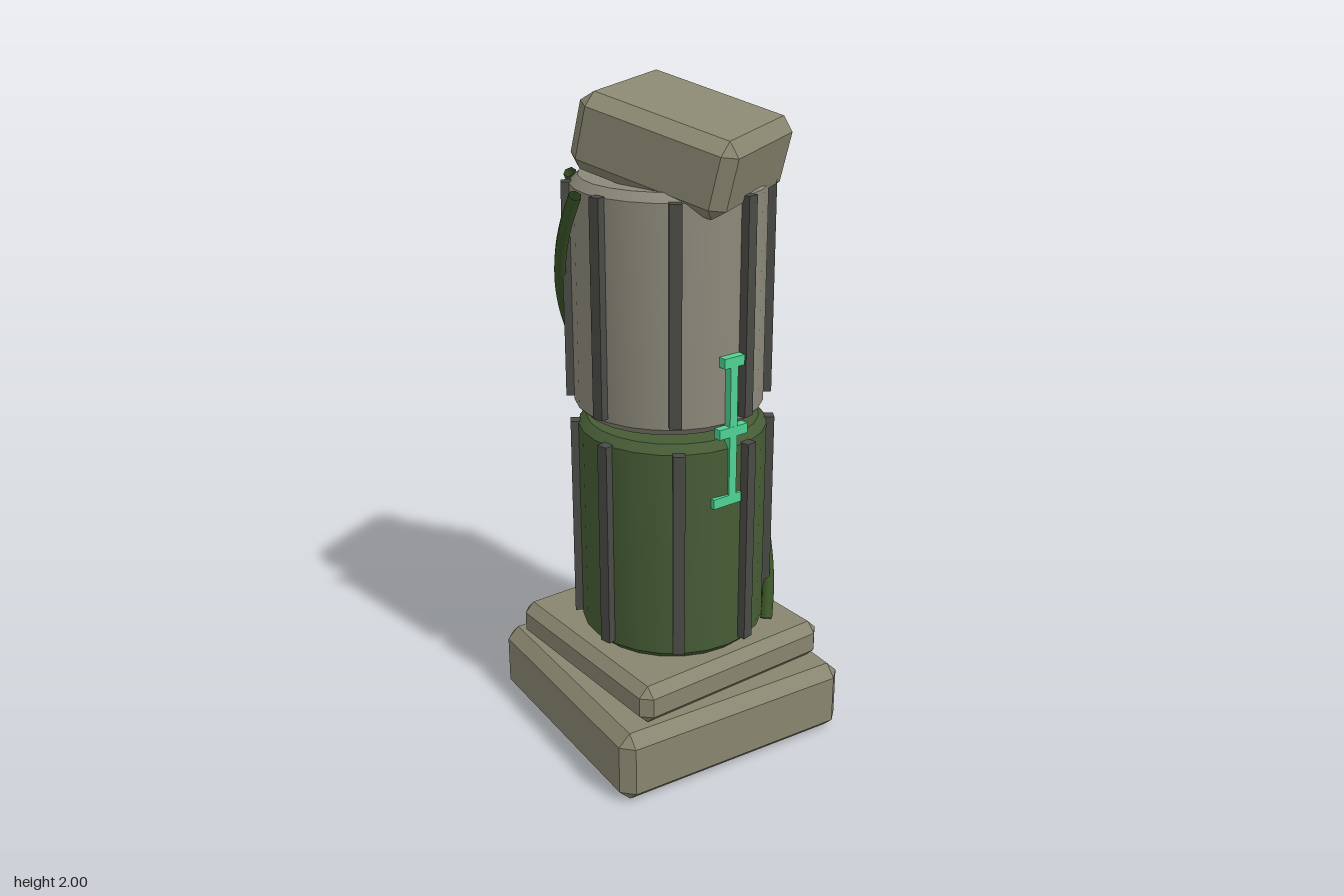
import * as THREE from 'three';
import { toCreasedNormals } from 'three/addons/utils/BufferGeometryUtils.js';
import { ConvexGeometry } from 'three/addons/geometries/ConvexGeometry.js';

const material = (name, color, extra = {}) => {
  const m = new THREE.MeshStandardMaterial({ color, ...extra });
  m.name = name;
  return m;
};

// Box with every edge and corner cut off by c
function chamferBox(w, h, d, c) {
  const pts = [];
  for (const sx of [-1, 1]) for (const sy of [-1, 1]) for (const sz of [-1, 1]) {
    const x = w / 2, y = h / 2, z = d / 2;
    pts.push(
      new THREE.Vector3(sx * x, sy * (y - c), sz * (z - c)),
      new THREE.Vector3(sx * (x - c), sy * y, sz * (z - c)),
      new THREE.Vector3(sx * (x - c), sy * (y - c), sz * z));
  }
  return new ConvexGeometry(pts);
}

// Round drum with bevelled rims, standing on y = 0
function drumGeometry(r, h, b) {
  const profile = [[0, 0], [r - b, 0], [r, b], [r, h - b], [r - b, h], [0, h]]
    .map(([x, y]) => new THREE.Vector2(x, y));
  return toCreasedNormals(new THREE.LatheGeometry(profile, 24), 0.5);
}

// Helix around the column; angles in degrees from +z towards +x
function vineGeometry(startAngle, endAngle) {
  const pts = [];
  for (let i = 0; i <= 16; i++) {
    const t = i / 16;
    const a = THREE.MathUtils.degToRad(startAngle + (endAngle - startAngle) * t);
    pts.push(new THREE.Vector3(0.311 * Math.sin(a), 1.72 - 1.36 * t, 0.311 * Math.cos(a)));
  }
  return new THREE.TubeGeometry(new THREE.CatmullRomCurve3(pts), 48, 0.019, 6);
}

export function createModel() {
  const model = new THREE.Group();
  model.name = 'ruinedColumn';

  const stone = material('stone', 0x88856f);
  const drumStone = material('drumStone', 0x8c887a);
  const moss = material('moss', 0x465c35);
  const darkStone = material('darkStone', 0x4a4a46);
  const vine = material('vine', 0x3b5527, { side: THREE.DoubleSide });
  const glow = material('glowGreen', 0x4fd394);

  const add = (name, geometry, mat, x = 0, y = 0, z = 0, parent = model) => {
    const mesh = new THREE.Mesh(geometry, mat);
    mesh.name = name;
    mesh.position.set(x, y, z);
    parent.add(mesh);
    return mesh;
  };

  // Stepped plinth, the lower slab slightly turned
  add('baseSlab', chamferBox(0.788, 0.225, 0.788, 0.036), stone, 0, 0.1125, 0).rotation.y = -0.085;
  add('upperSlab', chamferBox(0.68, 0.12, 0.68, 0.03), stone, 0, 0.285, 0);

  // Two drums, each with eight raised ribs
  const addDrum = (name, mat, x, y, h) => {
    const group = new THREE.Group();
    group.name = name;
    group.position.set(x, y, 0);
    model.add(group);
    add(name + 'Body', drumGeometry(0.28, h, 0.024), mat, 0, 0, 0, group);
    const rib = new THREE.BoxGeometry(0.035, 0.635, 0.03);
    for (let i = 0; i < 8; i++) {
      const a = 0.2 + i * Math.PI / 4;
      add('rib', rib, darkStone, 0.288 * Math.sin(a), h / 2 + 0.007, 0.288 * Math.cos(a), group)
        .rotation.y = a;
    }
  };
  addDrum('lowerDrum', moss, 0.018, 0.345, 0.688);
  addDrum('upperDrum', drumStone, 0, 1.055, 0.69);

  // Toppled cap block
  const cap = add('capBlock', chamferBox(0.48, 0.22, 0.43, 0.036), stone, 0.056, 1.837, -0.005);
  cap.setRotationFromMatrix(new THREE.Matrix4().makeBasis(
    new THREE.Vector3(0.868, -0.244, -0.432),
    new THREE.Vector3(0.232, 0.969, -0.081),
    new THREE.Vector3(0.44, -0.03, 0.897)));

  // Climbing vines
  add('frontVine', vineGeometry(-1, -166), vine);
  add('sideVine', vineGeometry(-60, -230), vine);

  // Glowing carved mark: an upright with three crossbars [width, y, z]
  const mark = new THREE.Group();
  mark.name = 'glowingMark';
  model.add(mark);
  add('upright', new THREE.BoxGeometry(0.024, 0.43, 0.026), glow, 0.291, 1.06, 0, mark);
  for (const [w, y, z] of [[0.07, 1.268, 0], [0.1, 1.06, 0], [0.1, 0.851, 0.018]]) {
    add('crossbar', new THREE.BoxGeometry(0.025, 0.03, w), glow, 0.291, y, z, mark);
  }

  return model;
}
